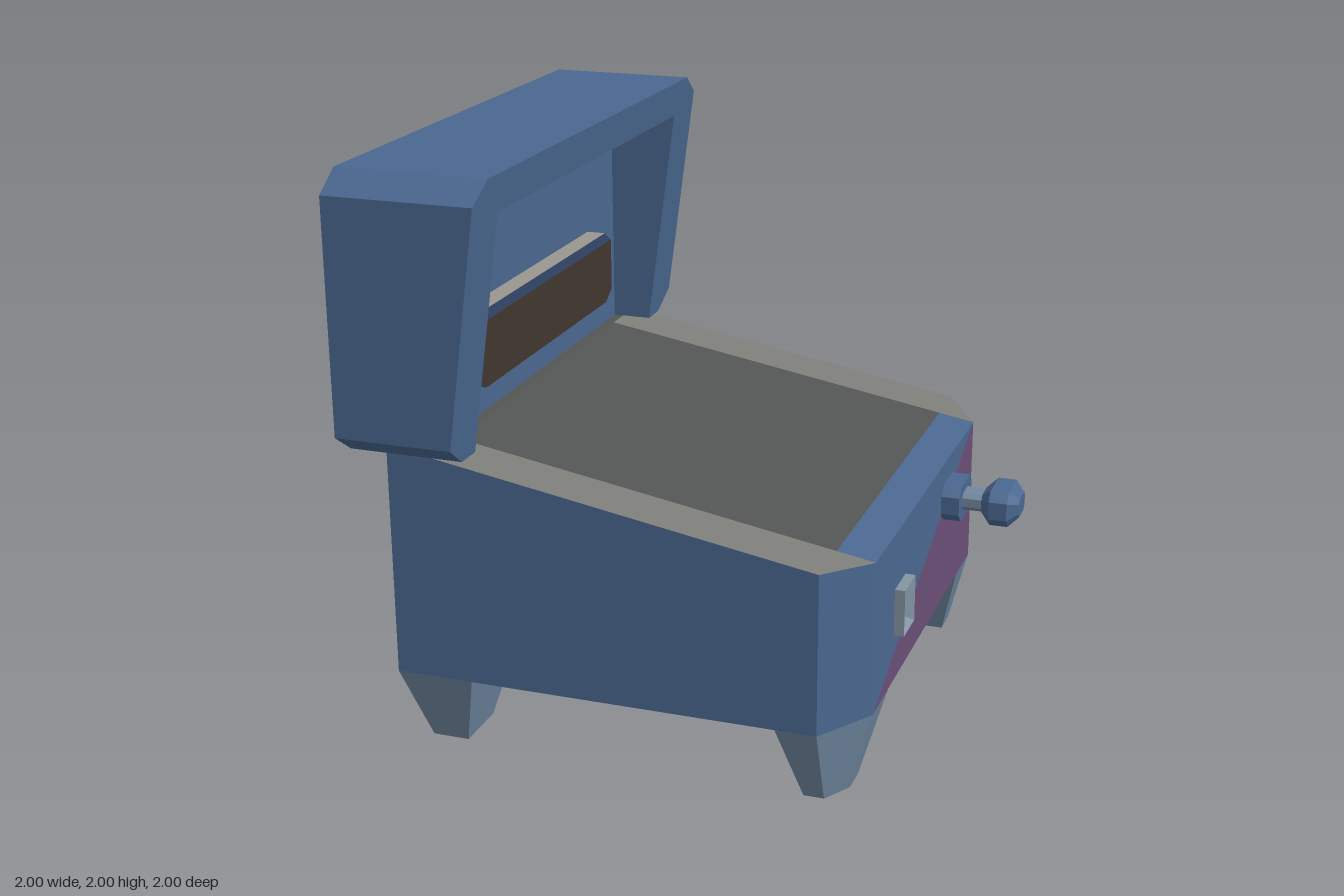
import * as THREE from 'three';

const BLUE = 0x4a6890, STEEL = 0x7088a0, STONE = 0x9a968f, BROWN = 0x40362e;

// Mesh from planar convex polygons, each a counter-clockwise list of [x, y, z]
function polyMesh(name, color, faces) {
  const pos = [];
  for (const f of faces)
    for (let i = 1; i < f.length - 1; i++) pos.push(...f[0], ...f[i], ...f[i + 1]);
  const geo = new THREE.BufferGeometry();
  geo.setAttribute('position', new THREE.Float32BufferAttribute(pos, 3));
  geo.computeVertexNormals();
  return named(name, color, geo);
}

function named(name, color, geo) {
  const mesh = new THREE.Mesh(geo, new THREE.MeshStandardMaterial({ color, flatShading: true }));
  mesh.name = name;
  return mesh;
}

// Quads joining consecutive rings
function loft(rings) {
  const faces = [];
  for (let r = 0; r < rings.length - 1; r++) {
    const a = rings[r], b = rings[r + 1], n = a.length;
    for (let i = 0; i < n; i++) {
      const j = (i + 1) % n;
      faces.push([a[i], a[j], b[j], b[i]]);
    }
  }
  return faces;
}
const flip = (ring) => [...ring].reverse();
const closed = (rings) => [...loft(rings), flip(rings[0]), rings[rings.length - 1]];
const mirrorZ = (face) => flip(face).map(([x, y, z]) => [x, y, -z]);

// Rectangle with cut corners, in the plane x, centred on (y, z)
function octagon(x, y, z, h, v, ch, cv) {
  return [[h, cv - v], [h, v - cv], [h - ch, v], [ch - h, v],
    [-h, v - cv], [-h, cv - v], [ch - h, -v], [h - ch, -v]].map(([s, t]) => [x, y + t, z - s]);
}
const rect = (x, y, z, h, v) =>
  [[h, -v], [h, v], [-h, v], [-h, -v]].map(([s, t]) => [x, y + t, z - s]);

// Thin cut-corner plate whose upper band has its own colour
function plate(name, x0, x1, outward, dims, colors) {
  const g = new THREE.Group();
  g.name = name;
  const a = octagon(x0, ...dims), b = octagon(x1, ...dims);
  const walls = loft([a, b]);
  const end = outward > 0 ? b : a;
  const pick = (ids) => {
    const f = ids.map((i) => end[i]);
    return outward > 0 ? f : flip(f);
  };
  g.add(polyMesh(name + 'Sides', colors.side, [0, 4, 5, 6, 7].map((i) => walls[i])));
  g.add(polyMesh(name + 'Top', colors.top, [1, 2, 3].map((i) => walls[i])));
  g.add(polyMesh(name + 'Band', colors.band, [pick([1, 2, 3, 4])]));
  g.add(polyMesh(name + 'Face', colors.face, [pick([0, 1, 4, 5, 6, 7])]));
  return g;
}

function makeBody() {
  const g = new THREE.Group();
  g.name = 'body';
  const base = 0.275;
  const topY = (x) => Math.min(1.06, 0.833 - (x - 0.6) * 0.175);
  const top = ([x, z]) => [x, topY(x), z];
  const plan = [[-0.87, 0.9], [-0.71, 0.9], [0.6, 0.9], [0.73, 0.7],
    [0.73, -0.7], [0.6, -0.9], [-0.71, -0.9], [-0.87, -0.9]];
  const lo = plan.map(([x, z]) => [x, base, z]), hi = plan.map(top);
  const walls = loft([lo, hi]);
  const plain = [0, 1, 2, 5, 6, 7].map((i) => walls[i]);
  plain[3] = walls[5];

  // Front wall and one cut corner are split into two colours
  g.add(polyMesh('bodyWalls', BLUE, [
    ...[0, 1, 2, 5, 6, 7].map((i) => walls[i]),
    [lo[3], hi[4], hi[3]], [lo[5], hi[5], hi[4]],
  ].filter((f) => f !== walls[4])));
  g.add(polyMesh('purplePanel', 0x6a4e78, [[lo[3], lo[4], hi[4]], [lo[4], lo[5], hi[4]]]));
  g.add(polyMesh('underside', 0x2c2e2d, [flip(lo)]));

  // Sloping top: two rails, a dark panel, a front lip and a level rear deck
  const rail = [[-0.71, 0.9], [0.6, 0.9], [0.73, 0.7], [-0.71, 0.7]].map(top);
  g.add(polyMesh('topRails', 0x7c7c79, [rail, mirrorZ(rail)]));
  const strip = (x0, x1, z) => [[x0, z], [x1, z], [x1, -z], [x0, -z]].map(top);
  g.add(polyMesh('topPanel', 0x525553, [strip(-0.71, 0.6, 0.7)]));
  g.add(polyMesh('frontLip', BLUE, [strip(0.6, 0.73, 0.7)]));
  g.add(polyMesh('rearDeck', 0x525553, [strip(-0.87, -0.71, 0.9)]));
  return g;
}

function makeLegs() {
  const g = new THREE.Group();
  g.name = 'legs';
  const shapes = {
    rearLeg: {
      hi: [[-0.87, 0.9], [-0.6, 0.9], [-0.6, 0.5], [-0.87, 0.5]],
      lo: [[-0.8, 0.8], [-0.67, 0.8], [-0.67, 0.6], [-0.8, 0.6]],
    },
    frontLeg: {
      hi: [[0.46, 0.9], [0.6, 0.9], [0.73, 0.7], [0.73, 0.5], [0.46, 0.5]],
      lo: [[0.53, 0.8], [0.6, 0.8], [0.66, 0.7], [0.66, 0.6], [0.53, 0.6]],
    },
  };
  for (const [name, s] of Object.entries(shapes)) {
    const lo = s.lo.map(([x, z]) => [x, 0, z]), hi = s.hi.map(([x, z]) => [x, 0.275, z]);
    const sides = loft([lo, hi]), foot = [flip(lo)];
    g.add(polyMesh(name + 'Left', STEEL, sides), polyMesh(name + 'LeftFoot', STONE, foot));
    g.add(polyMesh(name + 'Right', STEEL, sides.map(mirrorZ)),
      polyMesh(name + 'RightFoot', STONE, foot.map(mirrorZ)));
  }
  return g;
}

function makeLid() {
  const g = new THREE.Group();
  g.name = 'lid';
  const back = -1, inner = -0.745;
  const frontX = (y) => -0.6 + 0.13 * (y - 1.06) / 0.94;

  // Rear slab
  const dims = [1.53, 0, 1, 0.47, 0.1, 0.07];
  g.add(polyMesh('lidBack', BLUE, closed([octagon(back, ...dims), octagon(inner, ...dims)])));

  // Rim around the recess, open at the bottom, with a slanted front
  const rim = new THREE.Shape([[-0.8, 1.06], [-0.8, 1.87], [0.8, 1.87], [0.8, 1.06], [0.9, 1.06],
    [1, 1.13], [1, 1.93], [0.9, 2], [-0.9, 2], [-1, 1.93], [-1, 1.13], [-0.9, 1.06]]
    .map(([s, y]) => new THREE.Vector2(s, y)));
  const geo = new THREE.ExtrudeGeometry(rim, { depth: 1, bevelEnabled: false });
  geo.rotateY(Math.PI / 2);
  const p = geo.attributes.position;
  for (let i = 0; i < p.count; i++) p.setX(i, p.getX(i) > 0.5 ? frontX(p.getY(i)) : inner);
  geo.computeVertexNormals();
  g.add(named('lidRim', BLUE, geo));

  g.add(plate('innerPlate', inner, -0.675, 1, [1.325, 0, 0.6, 0.135, 0.06, 0.04],
    { side: BLUE, top: STONE, band: 0x33486a, face: BROWN }));
  return g;
}

function makeKnob() {
  const g = new THREE.Group();
  g.name = 'knob';
  const ring = (x, h, v) => octagon(x, 0.665, -0.3, h, v, h * 0.32, v * 0.5);
  g.add(polyMesh('knobBase', BLUE, closed([ring(0.73, 0.1, 0.065), ring(0.795, 0.1, 0.065)])));
  g.add(polyMesh('knobStem', STEEL, closed([ring(0.795, 0.05, 0.032), ring(0.865, 0.05, 0.032)])));
  g.add(polyMesh('knobHead', BLUE, closed([ring(0.865, 0.055, 0.035), ring(0.9, 0.1, 0.065),
    ring(0.965, 0.1, 0.065), ring(1, 0.055, 0.035)])));
  return g;
}

function makeSocket() {
  const g = new THREE.Group();
  g.name = 'socket';
  const at = (x, h, v) => rect(x, 0.5275, 0.375, h, v);
  const hole = at(0.735, 0.0275, 0.0525);
  g.add(polyMesh('socketFrame', 0x8494a2, loft([at(0.73, 0.07, 0.0825), at(0.765, 0.07, 0.0825), hole])));
  g.add(polyMesh('socketHole', BROWN, [hole]));
  return g;
}

export function createModel() {
  const model = new THREE.Group();
  model.name = 'hingedBox';
  model.add(makeBody(), makeLegs(), makeLid(), makeKnob(), makeSocket());
  model.add(plate('rearPlate', -0.935, -0.87, -1, [0.677, 0, 0.5, 0.235, 0.19, 0.133],
    { side: STEEL, top: STONE, band: 0x6e675f, face: 0x667a8e }));
  return model;
}
